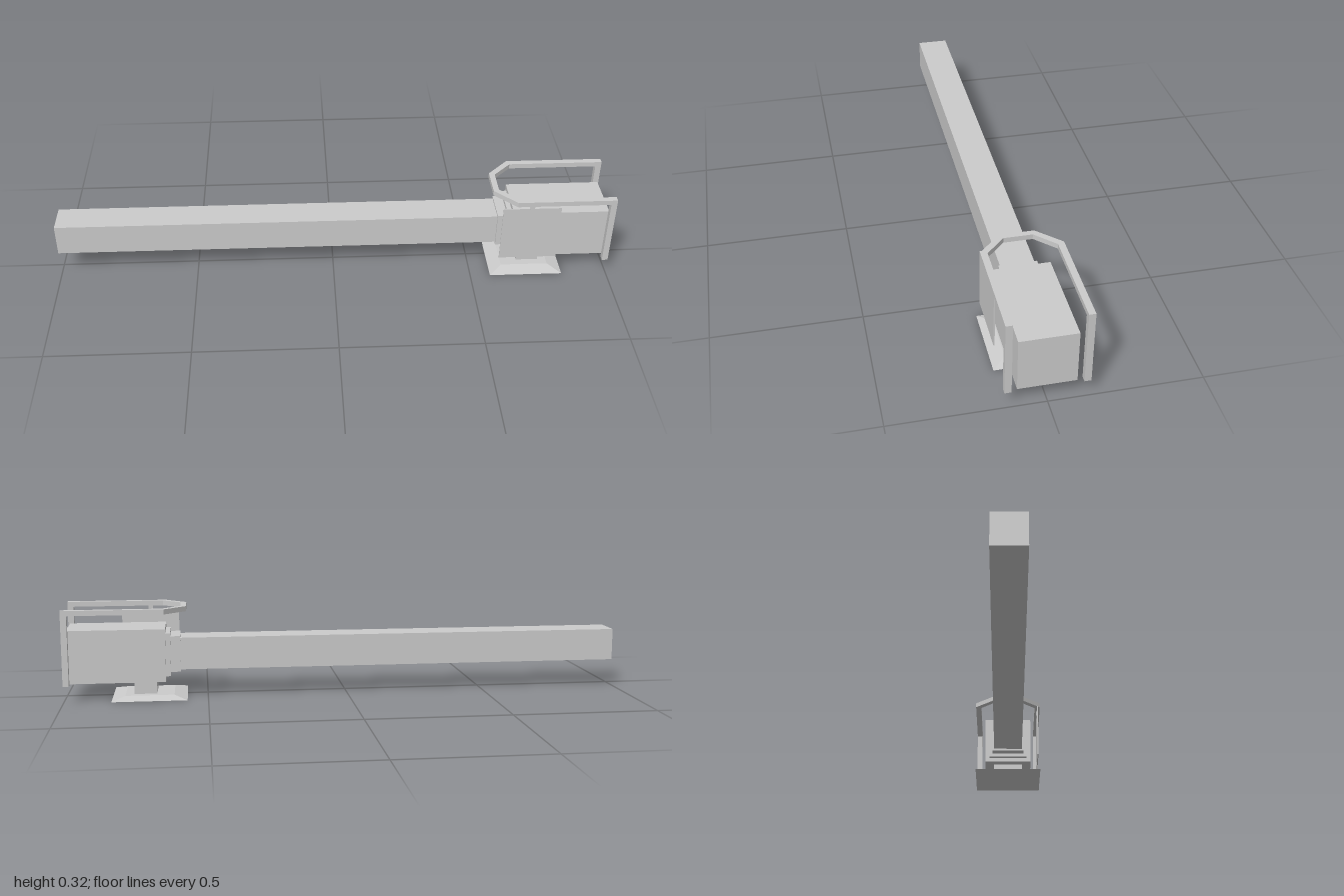
import * as THREE from 'three';

export function createModel() {
  const model = new THREE.Group();
  const material = new THREE.MeshStandardMaterial({ color: 0xcccccc, flatShading: true });

  const add = (name, geometry) => {
    const mesh = new THREE.Mesh(geometry, material);
    mesh.name = name;
    model.add(mesh);
    return mesh;
  };
  // Box given by its min and max on each axis
  const box = (name, [x0, x1], [y0, y1], [z0, z1]) => {
    const g = new THREE.BoxGeometry(x1 - x0, y1 - y0, z1 - z0);
    g.translate((x0 + x1) / 2, (y0 + y1) / 2, (z0 + z1) / 2);
    return add(name, g);
  };

  // Long arm, stepped collars where it meets the housing, and the housing
  const midY = 0.154;
  const centred = (name, x, half) =>
    box(name, x, [midY - half, midY + half], [-half, half]);
  centred('arm', [-1, 0.6], 0.057);
  centred('outerCollar', [0.595, 0.632], 0.064);
  centred('innerCollar', [0.63, 0.65], 0.077);
  centred('housing', [0.647, 0.99], 0.094);

  // Stem and sloped square foot
  box('stem', [0.68, 0.76], [0.01, 0.062], [-0.058, 0.058]);
  const foot = new THREE.CylinderGeometry(0.086 * Math.SQRT2, 0.132 * Math.SQRT2, 0.012, 4);
  foot.rotateY(Math.PI / 4);
  foot.translate(0.705, 0.006, 0);
  add('foot', foot);

  // Guard rail: horizontal loop with chamfered corners, open at the far end
  const outer = [[1, 0.135], [0.648, 0.135], [0.572, 0.057]];
  const inner = [[1, 0.113], [0.657, 0.113], [0.592, 0.048]];
  const mirrored = (pts) => pts.map(([x, z]) => [x, -z]).reverse();
  const outline = [...outer, ...mirrored(outer), ...inner.map(([x, z]) => [x, -z]), ...mirrored(inner).map(([x, z]) => [x, -z]).map(([x, z]) => [x, z])];
  const rail = new THREE.ExtrudeGeometry(
    new THREE.Shape(outline.map(([x, z]) => new THREE.Vector2(x, z))),
    { depth: 0.018, bevelEnabled: false }
  );
  rail.rotateX(Math.PI / 2);
  rail.translate(0, 0.324, 0);
  add('guardRail', rail);

  // Posts at the rail ends
  box('leftPost', [0.979, 1], [0.06, 0.307], [0.113, 0.135]);
  box('rightPost', [0.979, 1], [0.06, 0.307], [-0.135, -0.113]);

  // Thin side panel hung from the rail by a small peg
  box('sidePanel', [0.6, 0.807], [0.077, 0.291], [0.122, 0.126]);
  box('panelPeg', [0.695, 0.71], [0.289, 0.308], [0.12, 0.128]);

  return model;
}
